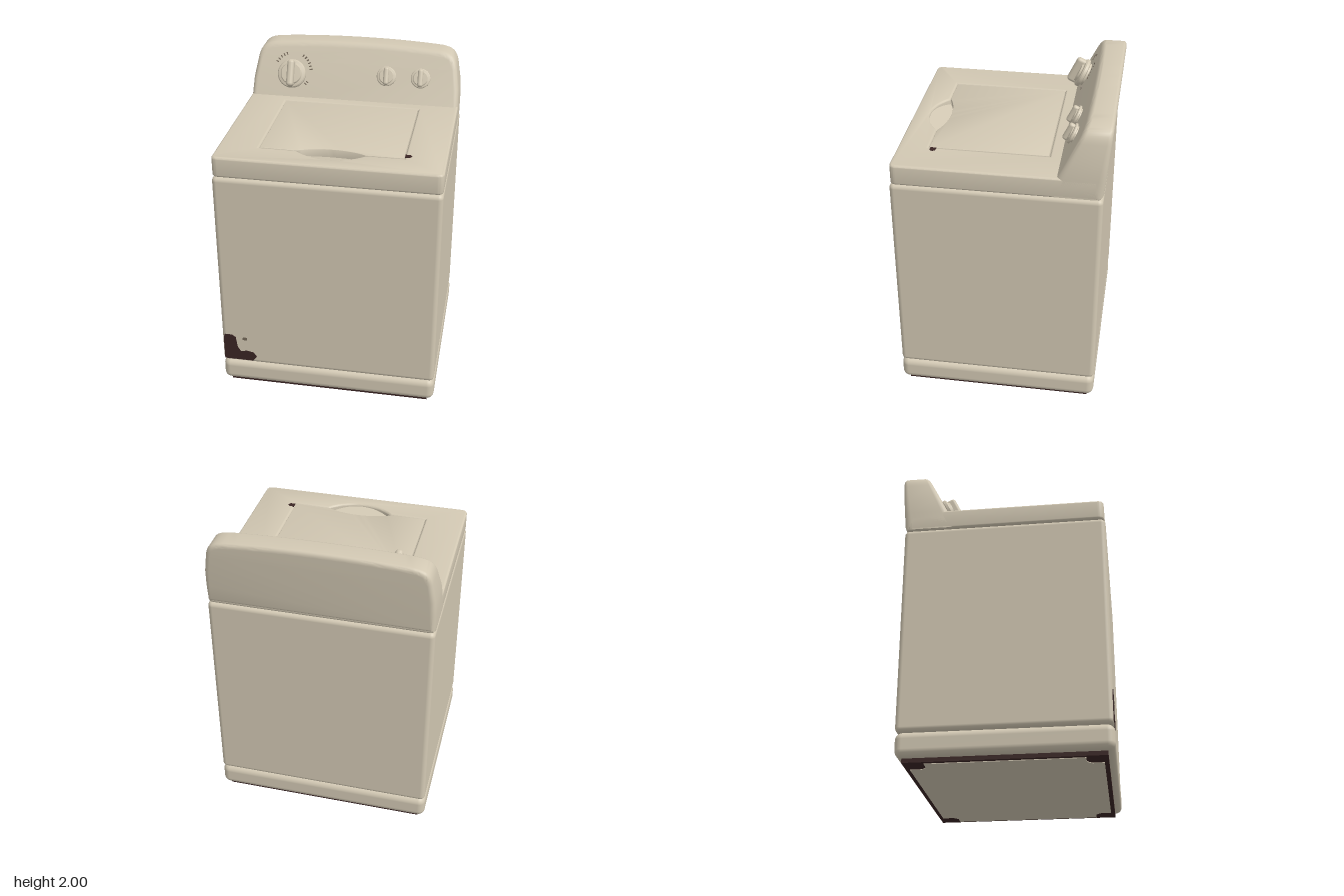
import * as THREE from 'three';
import { toCreasedNormals } from 'three/addons/utils/BufferGeometryUtils.js';
import { RoundedBoxGeometry } from 'three/addons/geometries/RoundedBoxGeometry.js';

const mat = (name, color, side = THREE.FrontSide) => {
  const m = new THREE.MeshStandardMaterial({ color, side });
  m.name = name;
  return m;
};

export function createModel() {
  const enamel = mat('cream enamel', 0xd2c8b3);
  const rust = mat('dark rust', 0x3a2524);
  const print = mat('dial print', 0x75695a);

  const group = new THREE.Group();
  group.name = 'washingMachine';
  const add = (name, geo, material, x = 0, y = 0, z = 0, parent = group) => {
    const m = new THREE.Mesh(geo, material);
    m.name = name;
    m.position.set(x, y, z);
    parent.add(m);
    return m;
  };
  // Rounded box given by half width and its y and z limits
  const block = (name, hx, y0, y1, z0, z1, r) =>
    add(name, new RoundedBoxGeometry(hx * 2, y1 - y0, z1 - z0, 4, r), enamel, 0, (y0 + y1) / 2, (z0 + z1) / 2);
  // Plan shape (x, -z) extruded upwards with softened edges
  const slab = (shape, height, bevel) => {
    const g = new THREE.ExtrudeGeometry(shape, {
      depth: height - bevel * 2, curveSegments: 14, bevelEnabled: bevel > 0,
      bevelSize: bevel, bevelThickness: bevel, bevelOffset: -bevel, bevelSegments: 4,
    });
    g.translate(0, 0, bevel);
    g.rotateX(-Math.PI / 2);
    return toCreasedNormals(g, 0.6);
  };
  const polygon = (pts) => new THREE.Shape(pts.map(([x, y]) => new THREE.Vector2(x, y)));

  // Cabinet and plinth
  block('cabinet', 0.692, 0.18, 1.53, -0.612, 0.652, 0.03);
  block('plinth', 0.695, 0.03, 0.182, -0.612, 0.655, 0.045);

  // Dark foot skirt, with the underside pan leaving its corners bare
  add('footSkirt', new THREE.BoxGeometry(1.3, 0.045, 1.18), rust, 0, 0.0265, 0.02);
  const px = 0.625, pz = 0.565, c = 0.1;
  const quarter = [[px, pz - c], [px - c * 0.7, pz - c], [px - c, pz - c * 0.7], [px - c, pz]];
  const flip = (sx, sy) => quarter.map(([x, y]) => [x * sx, y * sy]);
  const pan = polygon([...quarter, ...flip(-1, 1).reverse(), ...flip(-1, -1), ...flip(1, -1).reverse()]);
  add('undersidePan', slab(pan, 0.008, 0), enamel, 0, 0, 0.02);

  // Top deck with lid opening and finger scoop
  const w = 0.69, f = -0.645, b = 0.605, r = 0.04;
  const deck = new THREE.Shape();
  deck.moveTo(-w + r, f);
  deck.lineTo(w - r, f);
  deck.quadraticCurveTo(w, f, w, f + r);
  deck.lineTo(w, b - r);
  deck.quadraticCurveTo(w, b, w - r, b);
  deck.lineTo(-w + r, b);
  deck.quadraticCurveTo(-w, b, -w, b - r);
  deck.lineTo(-w, f + r);
  deck.quadraticCurveTo(-w, f, -w + r, f);
  // Lid outline; the scoop edge bows towards "bow" along its front
  const lidOutline = (Type, gap, bow) => {
    const s = new Type();
    const x = 0.44 - gap, z0 = 0.27 - gap, z1 = -0.46 + gap;
    s.moveTo(-x, z0);
    s.lineTo(-x, z1);
    s.lineTo(-0.21, z1);
    s.bezierCurveTo(-0.09, z1 + bow, 0.09, z1 + bow, 0.21, z1);
    s.lineTo(x, z1);
    s.lineTo(x, z0);
    s.closePath();
    return s;
  };
  deck.holes.push(lidOutline(THREE.Path, 0, -0.115));
  add('topDeck', slab(deck, 0.13, 0.014), enamel, 0, 1.53, 0);
  add('lid', slab(lidOutline(THREE.Shape, 0.004, 0.06), 0.128, 0.004), enamel, 0, 1.53, 0);
  const scoop = add('scoopFloor', new THREE.BoxGeometry(0.5, 0.02, 0.2), enamel, 0, 1.615, 0.48);
  scoop.rotation.x = -0.28;

  // Control console: front outline, then sheared to a sloping face and leaning back
  const half = [[0.69, 1.535], [0.69, 1.66], [0.685, 1.76], [0.664, 1.88]];
  const outline = new THREE.Shape();
  outline.moveTo(-0.69, 1.535);
  half.forEach(([x, y]) => outline.lineTo(x, y));
  outline.bezierCurveTo(0.65, 1.95, 0.62, 1.97, 0.55, 1.98);
  outline.quadraticCurveTo(0.3, 2, 0, 2);
  outline.quadraticCurveTo(-0.3, 2, -0.55, 1.98);
  outline.bezierCurveTo(-0.62, 1.97, -0.65, 1.95, -0.664, 1.88);
  half.slice(1, 3).reverse().forEach(([x, y]) => outline.lineTo(-x, y));
  outline.closePath();
  const consoleGeo = new THREE.ExtrudeGeometry(outline, {
    depth: 0.14, curveSegments: 14, bevelSize: 0.03, bevelThickness: 0.03, bevelOffset: -0.03, bevelSegments: 5,
  });
  const faceZ = (y) => -0.34 - (y - 1.66) * 0.484;
  const backZ = (y) => -0.61 - (y - 1.53) * 0.09;
  const p = consoleGeo.attributes.position;
  for (let i = 0; i < p.count; i++) {
    const y = p.getY(i), t = (p.getZ(i) + 0.03) / 0.2;
    p.setZ(i, THREE.MathUtils.lerp(backZ(y), faceZ(y), t));
  }
  add('console', toCreasedNormals(consoleGeo, 0.6), enamel);

  // Knobs stand square to the sloping face
  const knob = (name, x, y, radius, height, barLength, barWidth) => {
    const g = new THREE.Group();
    g.name = name;
    g.position.set(x, y, faceZ(y));
    g.rotation.x = -0.45;
    group.add(g);
    const profile = [[0, -0.01], [0.8, -0.01], [0.8, 0.12], [1, 0.18], [1, 0.34], [0.93, 0.42], [0.76, 0.46], [0.7, 0.56], [0, 0.58]]
      .map(([a, h]) => new THREE.Vector2(a * radius, h * height));
    const dial = new THREE.LatheGeometry(profile, 36);
    dial.rotateX(Math.PI / 2);
    add('dial', toCreasedNormals(dial, 0.5), enamel, 0, 0, 0, g);
    add('grip', new RoundedBoxGeometry(barWidth, barLength, height * 0.7, 4, barWidth * 0.45), enamel, 0, 0, height * 0.65, g);
    return g;
  };
  const timer = knob('timerKnob', -0.42, 1.795, 0.094, 0.105, 0.175, 0.046);
  knob('leftKnob', 0.435, 1.815, 0.064, 0.06, 0.115, 0.034);
  knob('rightKnob', 0.21, 1.815, 0.064, 0.06, 0.115, 0.034);

  // Printed marks around the timer knob
  for (const deg of [-42, -34, 8, 18, 28, 38, 48, 58, 112, 122, 132, 142, 152]) {
    const a = THREE.MathUtils.degToRad(deg);
    const mark = add('dialMark', new THREE.BoxGeometry(0.018, 0.007, 0.004), print,
      Math.cos(a) * 0.122, Math.sin(a) * 0.122 + 0.02, 0.001, timer);
    mark.rotation.z = a;
  }

  // Rust patches on the front corner and beside the lid
  const plate = (shape) => new THREE.ExtrudeGeometry(shape, { depth: 0.006, bevelEnabled: false });
  const patch = polygon([[-0.68, 0.2], [-0.49, 0.2], [-0.465, 0.235], [-0.485, 0.265], [-0.53, 0.275], [-0.57, 0.265],
    [-0.59, 0.3], [-0.6, 0.375], [-0.625, 0.392], [-0.672, 0.392], [-0.68, 0.37]]);
  add('frontRust', plate(patch), rust, 0, 0, 0.648);
  const spot = polygon([[-0.015, -0.008], [0.012, -0.012], [0.016, 0.01], [-0.012, 0.012]]);
  add('frontRustSpot', plate(spot), print, -0.54, 0.367, 0.648);
  const chip = polygon([[-0.022, -0.018], [0.008, -0.018], [0.02, 0], [0.008, 0.018], [-0.022, 0.018]]);
  add('deckRust', plate(chip), rust, 0.463, 1.656, 0.43).rotation.x = -Math.PI / 2;

  return group;
}
